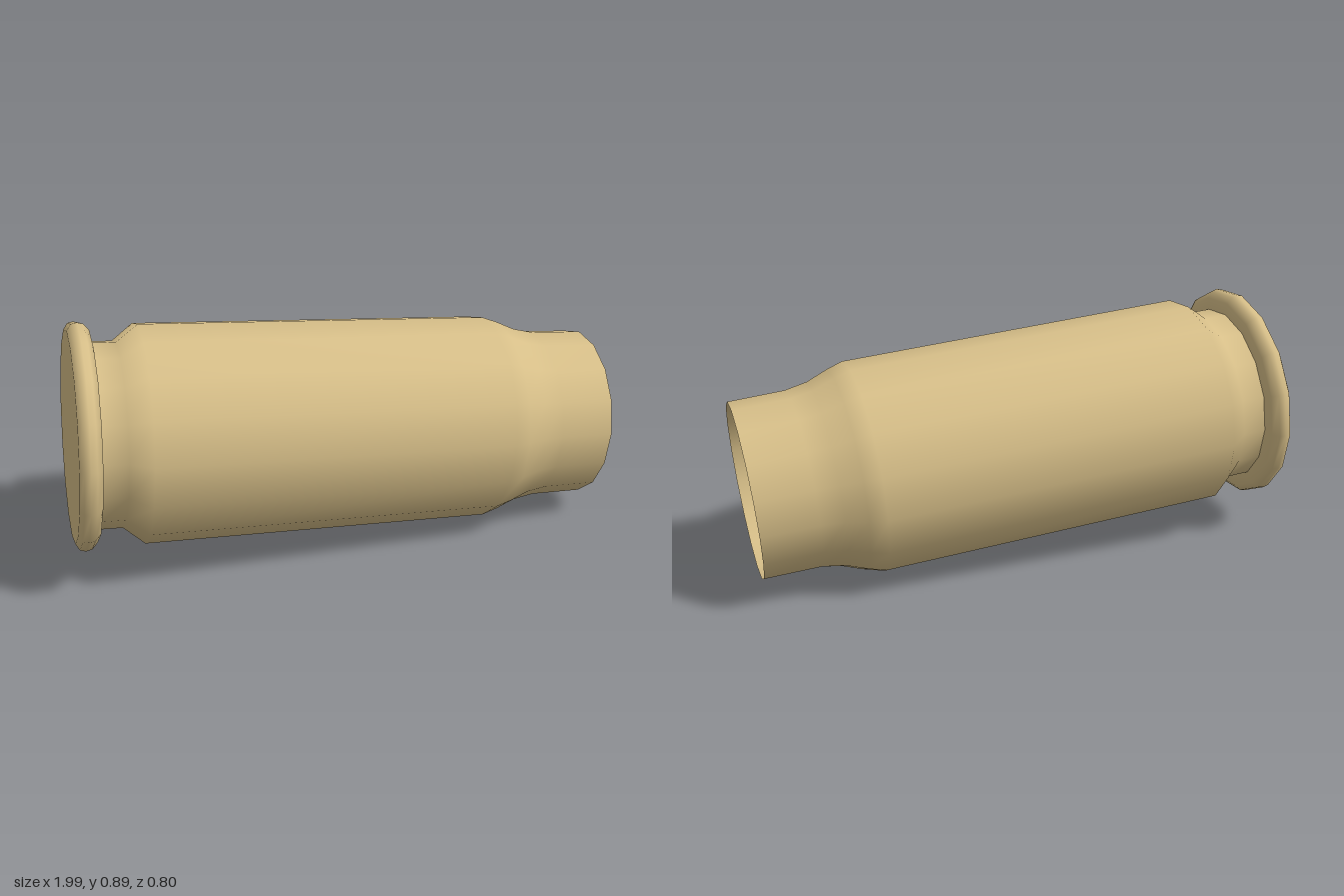
import * as THREE from 'three';

const SIDES = 16;
const START = THREE.MathUtils.degToRad(6.5);

export function createModel() {
  const brass = new THREE.MeshStandardMaterial({ color: 0xd6be88, side: THREE.DoubleSide });
  brass.name = 'brass';
  const group = new THREE.Group();
  group.name = 'cartridgeCase';

  const add = (name, geometry) => {
    const mesh = new THREE.Mesh(geometry, brass);
    mesh.name = name;
    group.add(mesh);
  };

  // Turned part along x; profile points are [position on axis, radius]
  const turned = (name, profile) => {
    const points = profile.map(([s, r]) => new THREE.Vector2(r, s));
    const geometry = new THREE.LatheGeometry(points, SIDES, -START);
    geometry.rotateZ(-Math.PI / 2);
    add(name, geometry);
  };

  // Flat closed end
  const base = new THREE.CircleGeometry(0.375, SIDES, START);
  base.rotateY(-Math.PI / 2);
  base.translate(-0.97, 0, 0);
  add('base', base);

  // Rounded rim, with its front face meeting the groove
  turned('rim', [
    [-0.97, 0.375], [-0.956, 0.398], [-0.935, 0.403], [-0.914, 0.398],
    [-0.894, 0.375], [-0.89, 0.331],
  ]);

  // Open thin shell: groove, bevel, tapered body, shoulder and neck
  turned('body', [
    [-0.89, 0.331], [-0.805, 0.331], [-0.73, 0.392], [0.56, 0.384],
    [0.62, 0.365], [0.695, 0.335], [0.775, 0.32], [0.976, 0.317],
  ]);

  // Slight downward tilt toward the mouth
  group.rotation.set(0, 0.004, -0.077);
  group.position.set(0, 0.425, -0.004);

  const model = new THREE.Group();
  model.add(group);
  return model;
}
